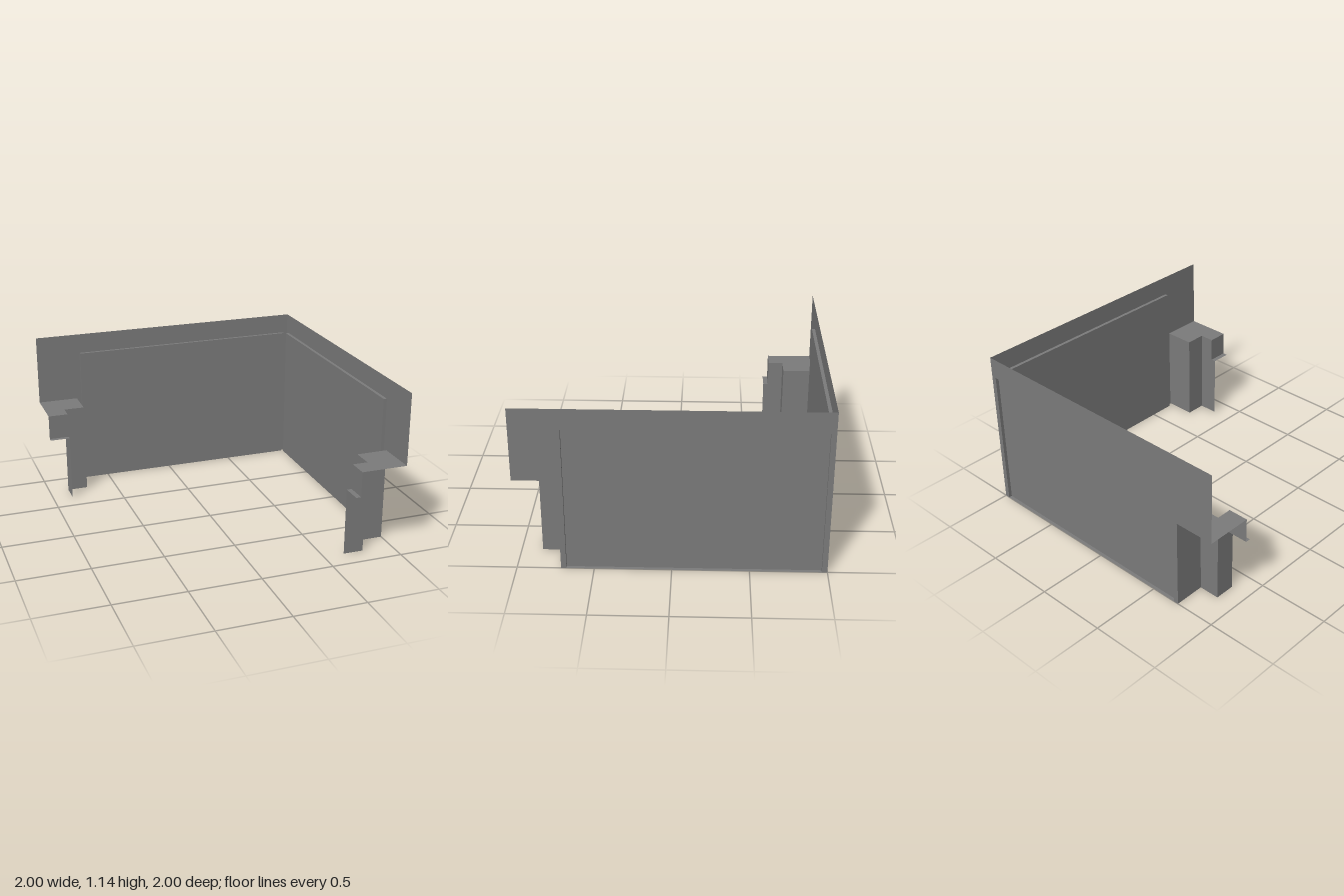
import * as THREE from 'three';

const H = 1.143, CEIL = 0.645, DROP = 0.47;      // wall top, porch ceiling, fascia bottom
const P = { x0: -0.68, x1: 0.965, top: 1.0, z: -0.977 }; // recessed panel

const grey = new THREE.MeshStandardMaterial({ color: 0x7b7b7b, side: THREE.DoubleSide });
grey.name = 'grey plaster';

// One mesh made of flat four-cornered sheets
function sheets(name, quads) {
  const pos = [];
  for (const [a, b, c, d] of quads) pos.push(...a, ...b, ...c, ...a, ...c, ...d);
  const g = new THREE.BufferGeometry();
  g.setAttribute('position', new THREE.Float32BufferAttribute(pos, 3));
  g.computeVertexNormals();
  const mesh = new THREE.Mesh(g, grey);
  mesh.name = name;
  return mesh;
}

// Upright sheet between two plan points
const upright = (x0, z0, x1, z1, y0, y1) =>
  [[x0, y0, z0], [x1, y0, z1], [x1, y1, z1], [x0, y1, z0]];
// Level sheet over a plan rectangle
const level = (x0, x1, z0, z1, y) =>
  [[x0, y, z0], [x0, y, z1], [x1, y, z1], [x1, y, z0]];

function createWing() {
  const wing = new THREE.Group();

  // Outer wall: notched below the porch ceiling, open around the panel
  const outline = [[-0.715, 0], [P.x0, 0], [P.x0, P.top], [P.x1, P.top], [P.x1, 0],
    [1, 0], [1, H], [-1, H], [-1, CEIL], [-0.715, CEIL]];
  const wallGeo = new THREE.ShapeGeometry(
    new THREE.Shape(outline.map(([x, y]) => new THREE.Vector2(x, y))));
  wallGeo.rotateY(Math.PI).scale(-1, 1, 1).translate(0, 0, -1);
  const idx = wallGeo.index.array; // mirrored, so restore the corner order
  for (let i = 0; i < idx.length; i += 3) [idx[i], idx[i + 1]] = [idx[i + 1], idx[i]];
  wallGeo.computeVertexNormals();
  const wall = new THREE.Mesh(wallGeo, grey);
  wall.name = 'outerWall';
  wing.add(wall);

  // Panel set back from the wall, with its four reveals
  wing.add(sheets('recessedPanel', [upright(P.x1, P.z, P.x0, P.z, 0, P.top)]));
  wing.add(sheets('panelReveal', [
    upright(P.x0, P.z, P.x0, -1, 0, P.top),
    upright(P.x1, -1, P.x1, P.z, 0, P.top),
    level(P.x0, P.x1, -1, P.z, 0),
    level(P.x0, P.x1, P.z, -1, P.top),
  ]));

  // Stepped walls of the end porch
  wing.add(sheets('porchWalls', [
    upright(-0.715, -0.785, -0.715, -1, 0, CEIL),
    upright(-0.86, -0.785, -0.715, -0.785, 0, CEIL),
    upright(-0.86, -0.68, -0.86, -0.785, 0, CEIL),
    upright(-0.86, -0.645, -0.86, -0.68, 0, DROP),
  ]));

  // Porch ceiling, hanging fascia and its small lip
  wing.add(sheets('porchCeiling', [
    level(-1, -0.715, -0.785, -1, CEIL),
    level(-1, -0.86, -0.68, -0.785, CEIL),
  ]));
  wing.add(sheets('porchFascia', [upright(-0.86, -0.68, -1, -0.68, DROP, CEIL)]));
  wing.add(sheets('fasciaLip', [level(-1, -0.86, -0.645, -0.68, DROP)]));
  return wing;
}

export function createModel() {
  const model = new THREE.Group();
  model.name = 'cornerFacade';
  const back = createWing();
  back.name = 'backWing';
  // The side wing is the back wing mirrored across the corner diagonal
  const side = createWing();
  side.name = 'leftWing';
  side.scale.x = -1;
  side.rotation.y = -Math.PI / 2;
  model.add(back, side);
  return model;
}
